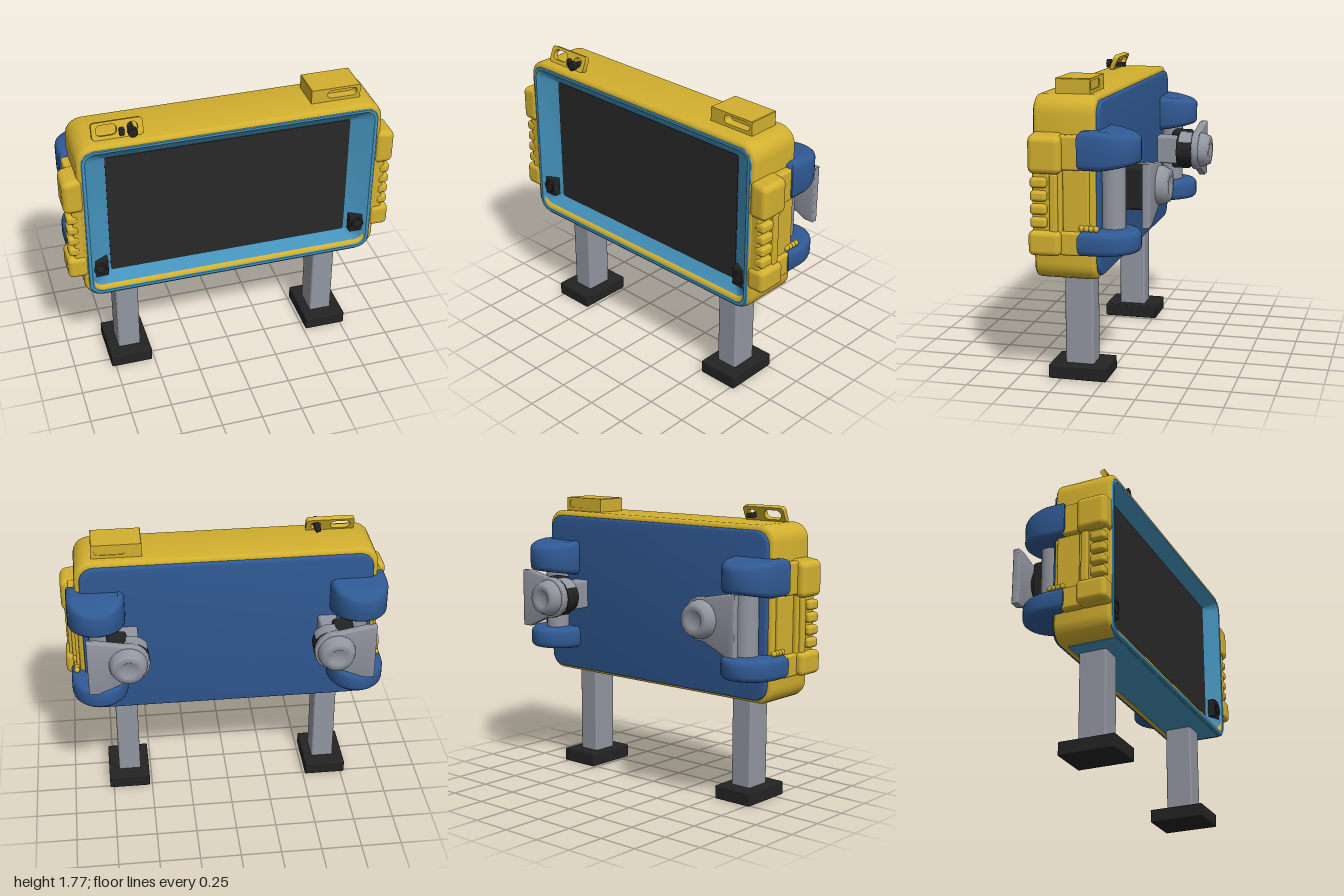
import * as THREE from 'three';
import { toCreasedNormals } from 'three/addons/utils/BufferGeometryUtils.js';
import { RoundedBoxGeometry } from 'three/addons/geometries/RoundedBoxGeometry.js';

const mat = (name, color) => Object.assign(new THREE.MeshStandardMaterial({ color }), { name });
const yellow = mat('yellow', 0xd3b02f);
const sky = mat('skyBlue', 0x4594be);
const navy = mat('navyBlue', 0x305a95);
const grey = mat('grey', 0x9296a0);
const black = mat('black', 0x232323);
const glass = mat('screenBlack', 0x282828);

function add(parent, name, geo, material, x = 0, y = 0, z = 0) {
  const m = new THREE.Mesh(geo, material);
  m.name = name;
  m.position.set(x, y, z);
  parent.add(m);
  return m;
}

// box given by its limits on each axis; r rounds the edges
function box(parent, name, material, [x0, x1], [y0, y1], [z0, z1], r = 0) {
  const w = Math.abs(x1 - x0), h = y1 - y0, d = z1 - z0;
  const geo = r ? new RoundedBoxGeometry(w, h, d, 3, r) : new THREE.BoxGeometry(w, h, d);
  return add(parent, name, geo, material, (x0 + x1) / 2, (y0 + y1) / 2, (z0 + z1) / 2);
}

// counter-clockwise rounded rectangle
function roundRect(x0, x1, y0, y1, r, n = 5) {
  const pts = [];
  const corners = [[x1 - r, y0 + r, -1], [x1 - r, y1 - r, 0], [x0 + r, y1 - r, 1], [x0 + r, y0 + r, 2]];
  for (const [cx, cy, q] of corners)
    for (let i = 0; i <= n; i++) {
      const a = (q + i / n) * Math.PI / 2;
      pts.push(new THREE.Vector2(cx + r * Math.cos(a), cy + r * Math.sin(a)));
    }
  return pts;
}

function extrude(pts, holes, depth, bevel = 0) {
  const shape = new THREE.Shape(pts);
  shape.holes = holes.map(h => new THREE.Path(h));
  const geo = new THREE.ExtrudeGeometry(shape, {
    depth: depth - 2 * bevel, bevelEnabled: bevel > 0, bevelSize: bevel,
    bevelThickness: bevel, bevelOffset: -bevel, bevelSegments: 3,
  });
  geo.translate(0, 0, bevel);
  return toCreasedNormals(geo, 0.6);
}

// skin over a list of rings, each { pts, z }
function loft(rings) {
  const n = rings[0].pts.length, pos = [], idx = [];
  for (const { pts, z } of rings) for (const p of pts) pos.push(p.x, p.y, z);
  for (let i = 0; i < rings.length - 1; i++)
    for (let j = 0; j < n; j++) {
      const a = i * n + j, b = i * n + (j + 1) % n;
      idx.push(a, b, b + n, a, b + n, a + n);
    }
  const geo = new THREE.BufferGeometry();
  geo.setAttribute('position', new THREE.Float32BufferAttribute(pos, 3));
  geo.setIndex(idx);
  return toCreasedNormals(geo, 0.5);
}

function buildCabinet(g) {
  add(g, 'shell', extrude(roundRect(-0.91, 0.91, 0.63, 1.675, 0.1),
    [roundRect(-0.84, 0.84, 0.69, 1.61, 0.05).reverse()], 0.355, 0.025), yellow);
  add(g, 'backPanel', extrude(roundRect(-0.88, 0.88, 0.65, 1.645, 0.09), [], 0.06, 0.012), navy, 0, 0, -0.02);
  box(g, 'undersidePanel', sky, [-0.81, 0.81], [0.625, 0.633], [0.05, 0.345]);

  // raised rim that slopes in to the screen
  const ring = (w, y0, y1, r, z) => ({ pts: roundRect(-w, w, y0, y1, r), z });
  add(g, 'screenFrame', loft([
    ring(0.89, 0.632, 1.652, 0.08, 0.32), ring(0.89, 0.632, 1.652, 0.08, 0.35),
    ring(0.88, 0.642, 1.642, 0.075, 0.36), ring(0.862, 0.66, 1.628, 0.06, 0.36),
    ring(0.85, 0.67, 1.618, 0.055, 0.35), ring(0.735, 0.755, 1.548, 0.012, 0.285)]), sky);
  add(g, 'screen', extrude(roundRect(-0.737, 0.737, 0.753, 1.55, 0.014), [], 0.008), glass, 0, 0, 0.282);

  // speaker in each lower corner
  for (const s of [-1, 1]) {
    box(g, 'speaker', black, [s * 0.76, s * 0.855], [0.757, 0.877], [0.29, 0.345], 0.006);
    add(g, 'speakerRing', new THREE.TorusGeometry(0.034, 0.006, 8, 24), black, s * 0.808, 0.815, 0.346);
  }
}

function buildTop(g) {
  // hooded box
  add(g, 'topBox', extrude(roundRect(0.5, 0.8, 1.66, 1.76, 0.004, 1),
    [roundRect(0.6, 0.78, 1.695, 1.745, 0.02).reverse()], 0.2), yellow, 0, 0, 0.055);
  box(g, 'topBoxRecess', yellow, [0.52, 0.795], [1.67, 1.755], [0.06, 0.2]);

  // tilted carrying loop with its latch
  const loop = new THREE.Group();
  loop.name = 'topLoop';
  loop.position.set(0, 1.665, 0.27);
  loop.rotation.x = -0.4;
  g.add(loop);
  const outline = roundRect(-0.8, -0.505, 0, 0.1, 0.02);
  add(loop, 'loopPlate', extrude(outline, [
    roundRect(-0.775, -0.655, 0.022, 0.083, 0.028).reverse(),
    roundRect(-0.595, -0.535, 0.022, 0.08, 0.025).reverse()], 0.03), yellow);
  box(g, 'latchBar', black, [-0.59, -0.555], [1.69, 1.72], [0.2, 0.32], 0.008);
  const knob = add(g, 'latchKnob', new THREE.CylinderGeometry(0.028, 0.028, 0.03, 16), black, -0.572, 1.71, 0.31);
  knob.rotation.x = Math.PI / 2;
  box(g, 'latchPin', black, [-0.645, -0.615], [1.685, 1.73], [0.26, 0.3], 0.008);
}

function buildSide(s) {
  const g = new THREE.Group();
  g.name = s > 0 ? 'leftSide' : 'rightSide';
  const X = (a, b) => [s * a, s * b];

  // yellow side guards and finger grips
  const guard = box(g, 'upperGuard', yellow, X(0.88, 1), [1.25, 1.48], [0.175, 0.365], 0.035);
  const p = guard.geometry.attributes.position;
  for (let i = 0; i < p.count; i++)
    if (p.getY(i) > 0) p.setY(i, p.getY(i) - 0.02 * (s * p.getX(i) / 0.06 + 1) / 2);
  box(g, 'lowerGuard', yellow, X(0.88, 1), [0.79, 0.93], [0.18, 0.365], 0.03);
  box(g, 'gripPanel', yellow, X(0.88, 0.955), [0.9, 1.27], [0.18, 0.35], 0.015);
  box(g, 'gripRail', yellow, X(0.9, 0.975), [0.91, 1.25], [0.2, 0.245], 0.012);
  box(g, 'sidePanel', yellow, X(0.88, 0.93), [0.9, 1.27], [0.03, 0.18], 0.01);
  for (let i = 0; i < 4; i++) {
    const y = 0.975 + i * 0.075;
    box(g, 'gripRidge', yellow, X(0.92, 0.988), [y - 0.03, y + 0.03], [0.26, 0.355], 0.02);
    add(g, 'knuckle', new THREE.SphereGeometry(0.018, 12, 8), yellow, s * 0.93, 0.945, 0.07 - i * 0.027);
  }
  box(g, 'upperLink', yellow, X(0.88, 0.955), [1.27, 1.465], [0.07, 0.2], 0.015);
  box(g, 'lowerLink', yellow, X(0.88, 0.955), [0.79, 0.925], [0.07, 0.2], 0.015);

  // rounded blue shoulders reaching back, squeezed toward the tip
  const outline = [new THREE.Vector2(s * 0.62, -0.09), new THREE.Vector2(s * 0.965, -0.09)];
  for (let i = 0; i <= 16; i++) {
    const a = i / 16 * Math.PI;
    outline.push(new THREE.Vector2(s * (0.7925 + 0.1725 * Math.cos(a)), 0.03 + 0.205 * Math.sin(a)));
  }
  for (const [name, y, h, squeeze] of [['upperShoulder', 1.27, 0.22, 0.3], ['lowerShoulder', 0.79, 0.14, 0.1]]) {
    const geo = extrude(outline, [], h, 0.035);
    geo.rotateX(-Math.PI / 2);
    const q = geo.attributes.position;
    for (let i = 0; i < q.count; i++) {
      const t = Math.max(0, -q.getZ(i) - 0.04) / 0.2;
      q.setY(i, h / 2 + (q.getY(i) - h / 2) * (1 - squeeze * t));
    }
    geo.computeVertexNormals();
    add(g, name, toCreasedNormals(geo, 0.7), navy, 0, y, 0);
  }

  // column, neck and drum of the swivel arm
  add(g, 'armColumn', new THREE.CylinderGeometry(0.072, 0.072, 0.42, 24), grey, s * 0.775, 1.1, -0.07);
  box(g, 'armNeck', grey, X(0.55, 0.665), [1.06, 1.24], [-0.18, 0], 0.015);
  box(g, 'armLink', black, X(0.62, 0.74), [1.02, 1.27], [-0.23, -0.1], 0.02);
  const drum = new THREE.CylinderGeometry(0.112, 0.105, 0.1, 24).rotateX(-Math.PI / 2);
  add(g, 'armDrum', drum, black, s * 0.6, 1.15, -0.205);
  const cover = new THREE.CylinderGeometry(0.118, 0.118, 0.085, 16, 1, true, Math.PI - 1, 2).rotateX(Math.PI / 2);
  const coverMat = grey.clone();
  coverMat.side = THREE.DoubleSide;
  add(g, 'drumCover', cover, coverMat, s * 0.6, 1.15, -0.21);

  // flared end plate with a dished knob
  const plate = [[0.86, 0.95], [0.86, 1.31], [0.8, 1.31]];
  for (let i = 0; i <= 10; i++) {
    const a = Math.PI * (0.45 + 1.1 * i / 10);
    plate.push([0.62 + 0.13 * Math.cos(a), 1.15 + 0.13 * Math.sin(a)]);
  }
  plate.push([0.8, 0.95]);
  add(g, 'endPlate', extrude(plate.map(([x, y]) => new THREE.Vector2(s * x, y)), [], 0.045, 0.008), grey, 0, 0, -0.298);
  const profile = [[0.115, 0], [0.11, 0.03], [0.092, 0.07], [0.055, 0.072], [0.042, 0.055], [0, 0.055]];
  const knob = new THREE.LatheGeometry(profile.map(a => new THREE.Vector2(...a)), 28).rotateX(-Math.PI / 2);
  add(g, 'endKnob', knob, grey, s * 0.62, 1.15, -0.292);

  // leg and foot
  box(g, 'leg', grey, X(0.57, 0.71), [0.07, 0.66], [0.07, 0.24], 0.012);
  box(g, 'foot', black, X(0.515, 0.775), [0, 0.083], [-0.02, 0.325], 0.008);
  return g;
}

export function createModel() {
  const model = new THREE.Group();
  model.name = 'displayStand';
  buildCabinet(model);
  buildTop(model);
  model.add(buildSide(1), buildSide(-1));
  return model;
}
